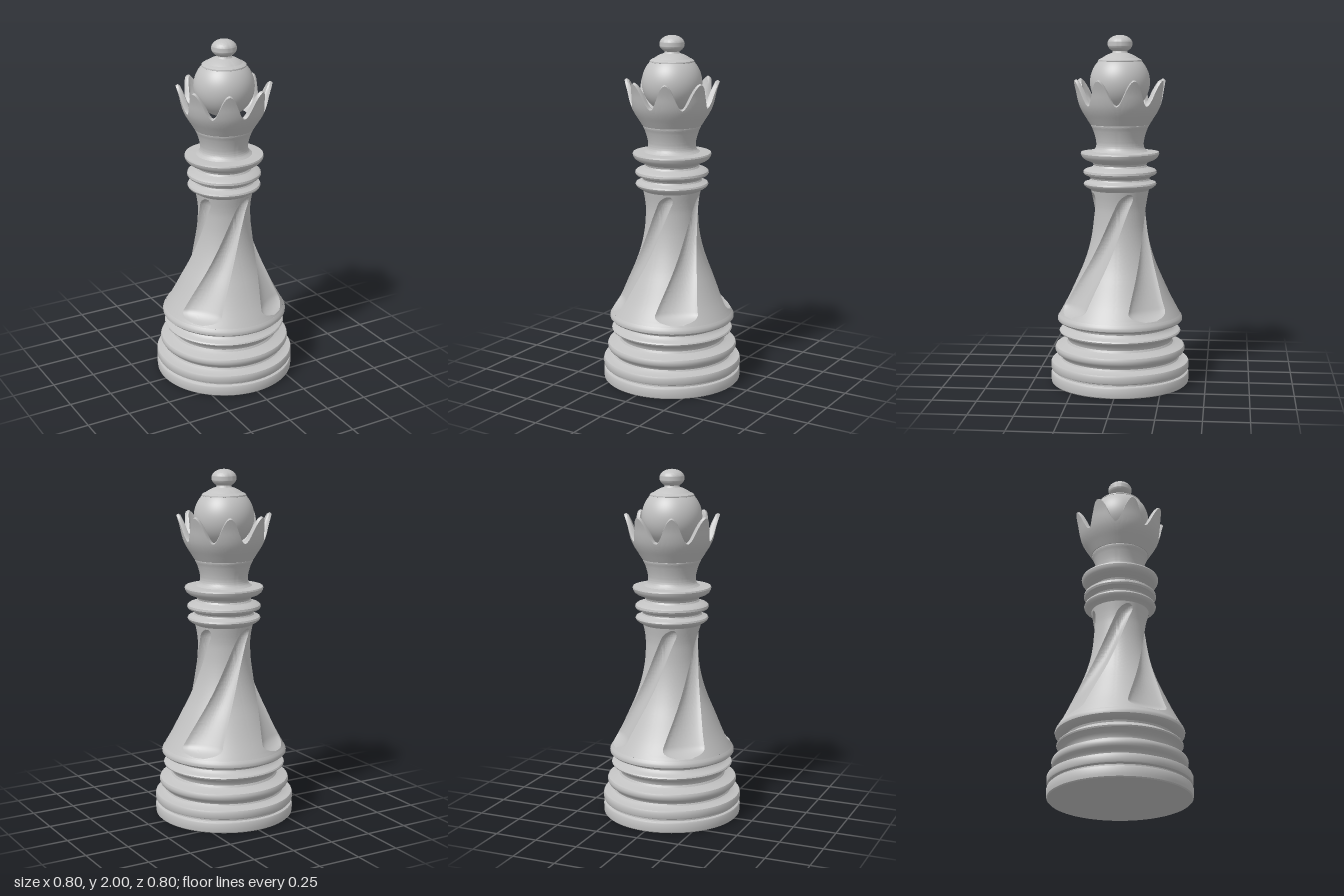
import * as THREE from 'three';
import { toCreasedNormals } from 'three/addons/utils/BufferGeometryUtils.js';

const stone = new THREE.MeshStandardMaterial({ color: 0xc2c2c2 });
stone.name = 'pale grey';

const rad = THREE.MathUtils.degToRad;
const lerp = THREE.MathUtils.lerp;
const vecs = (pts) => pts.map(([r, y]) => new THREE.Vector2(r, y));
const smooth = (pts, n) => new THREE.SplineCurve(vecs(pts)).getPoints(n);

function part(name, geometry, crease = 32) {
  const mesh = new THREE.Mesh(toCreasedNormals(geometry, rad(crease)), stone);
  mesh.name = name;
  return mesh;
}

// Turned part from a [radius, height] profile, bottom to top
const turned = (name, pts, crease) => part(name, new THREE.LatheGeometry(vecs(pts), 96), crease);

// Lathe whose vertices are moved by rule(column, row) -> [radius, angle, y]
function warpedLathe(name, cols, rows, rule) {
  const blank = Array.from({ length: rows }, (_, j) => new THREE.Vector2(1, j));
  const g = new THREE.LatheGeometry(blank, cols);
  for (let i = 0; i <= cols; i++) {
    for (let j = 0; j < rows; j++) {
      const [r, a, y] = rule(i % cols, j);
      g.attributes.position.setXYZ(i * rows + j, r * Math.sin(a), y, r * Math.cos(a));
    }
  }
  return part(name, g);
}

// Conical body with four twisted flutes whose edges follow the mesh columns
function flutedBody() {
  const line = smooth([[0.348, 0.405], [0.297, 0.5], [0.25, 0.6], [0.207, 0.7], [0.175, 0.8],
    [0.156, 0.9], [0.15, 1.0], [0.154, 1.06], [0.166, 1.125]], 110);
  const low = 0.415, high = 1.11, per = 40, half = per / 2;
  return warpedLathe('flutedBody', per * 4, line.length, (i, j) => {
    const { x: r, y } = line[j];
    const t = THREE.MathUtils.clamp((y - low) / (high - low), 0, 1);
    // rounded flute ends
    const v = Math.max(0, 1 - (y - low) / 0.05, 1 - (high - y) / 0.05);
    const end = v < 1 ? Math.sqrt(1 - v * v) : 0;
    const width = lerp(23, 15, t) * Math.max(end, 0.3);
    const centre = -55 + 79 * Math.pow(t, 1.6);
    const s = i % per;
    const u = s / half * 2 - 1;
    const inside = s <= half;
    const local = inside ? width * (s / half * 2 - 1)
      : width + (90 - 2 * width) * (s - half) / half;
    const hollow = inside && s > 0 && s < half ? Math.pow(1 - u * u, 0.7) : 0;
    const depth = lerp(0.05, 0.024, t) * end * hollow;
    return [r - depth, rad(centre + local + 90 * Math.floor(i / per)), y];
  });
}

// Cup with eight curved points, a closed shell running up the outside and down the inside
function crown() {
  const outer = smooth([[0.168, 1.495], [0.19, 1.53], [0.212, 1.565], [0.229, 1.6],
    [0.241, 1.64], [0.252, 1.69], [0.272, 1.755]], 60);
  const radiusAt = (y) => {
    const k = outer.findIndex((p) => p.y >= y);
    if (k < 1) return outer[k < 0 ? outer.length - 1 : 0].x;
    const a = outer[k - 1], b = outer[k];
    return lerp(a.x, b.x, (y - a.y) / (b.y - a.y));
  };
  const n = 18, cols = 192;
  return warpedLathe('crown', cols, n * 2 + 4, (i, j) => {
    const a = i / cols * Math.PI * 2;
    const peak = 0.5 - 0.5 * Math.cos(8 * a);
    const top = 1.605 + 0.142 * peak;
    const thick = lerp(0.034, 0.024, peak);
    if (j === 0) return [0.1, a, 1.495];
    if (j <= n + 1) {
      const y = lerp(1.495, top, (j - 1) / n);
      return [radiusAt(y), a, y];
    }
    // rounded lip
    if (j === n + 2) return [radiusAt(top) - thick * 0.5, a, top + 0.007];
    const k = (j - n - 3) / n;
    const y = lerp(top, 1.57, k);
    return [lerp(radiusAt(y) - thick, 0.13, k * k * k), a, y];
  });
}

export function createModel() {
  const model = new THREE.Group();
  model.name = 'chessPiece';

  model.add(turned('base', [
    [0, 0], [0.392, 0], [0.398, 0.006], [0.4, 0.02], [0.4, 0.055], [0.396, 0.063], [0.382, 0.068],
    [0.382, 0.076], [0.396, 0.082], [0.4, 0.09], [0.4, 0.12], [0.396, 0.129], [0.378, 0.132],
    [0.355, 0.136], [0.343, 0.143], [0.339, 0.152], [0.343, 0.162], [0.356, 0.172], [0.368, 0.18],
    [0.375, 0.192], [0.376, 0.208], [0.371, 0.219], [0.36, 0.223], [0.325, 0.229], [0.308, 0.238],
    [0.302, 0.25], [0.305, 0.263], [0.316, 0.276], [0.333, 0.288], [0.347, 0.296], [0.351, 0.304],
    [0.346, 0.311], [0.325, 0.319], [0.308, 0.328], [0.302, 0.338], [0.306, 0.348],
    [0.325, 0.354], [0.35, 0.36], [0.36, 0.37], [0.361, 0.381], [0.357, 0.392], [0.348, 0.405],
  ]));
  model.add(flutedBody());

  // Stacked rings above the body
  model.add(turned('collar', [
    [0.166, 1.122], [0.172, 1.128], [0.19, 1.137], [0.204, 1.148], [0.208, 1.158], [0.204, 1.167],
    [0.185, 1.173], [0.172, 1.18], [0.168, 1.188], [0.172, 1.196], [0.188, 1.205], [0.204, 1.212],
    [0.21, 1.222], [0.208, 1.234], [0.198, 1.242], [0.175, 1.248], [0.157, 1.256], [0.151, 1.266],
    [0.156, 1.277], [0.175, 1.287], [0.198, 1.296], [0.213, 1.307], [0.221, 1.32], [0.224, 1.332],
    [0.221, 1.34], [0.165, 1.344], [0.12, 1.345],
  ]));

  const neckLine = smooth([[0.16, 1.343], [0.141, 1.36], [0.135, 1.385], [0.14, 1.42], [0.152, 1.46], [0.164, 1.487]], 24);
  model.add(turned('neck', [...neckLine.map((p) => [p.x, p.y]), [0.164, 1.494], [0.158, 1.499], [0, 1.499]]));

  model.add(crown());

  // Domed head, thin cap and finial
  const head = part('head', new THREE.SphereGeometry(0.17, 64, 40), 60);
  head.position.y = 1.735;
  model.add(head);
  model.add(turned('cap', [
    [0.09, 1.843], [0.118, 1.847], [0.125, 1.852], [0.124, 1.859], [0.112, 1.867], [0.09, 1.875],
    [0.068, 1.884], [0.051, 1.894], [0.042, 1.904], [0.04, 1.915],
  ]));
  const finial = part('finial', new THREE.SphereGeometry(0.071, 48, 32).scale(1, 0.7, 1), 60);
  finial.position.y = 1.95;
  model.add(finial);

  return model;
}
